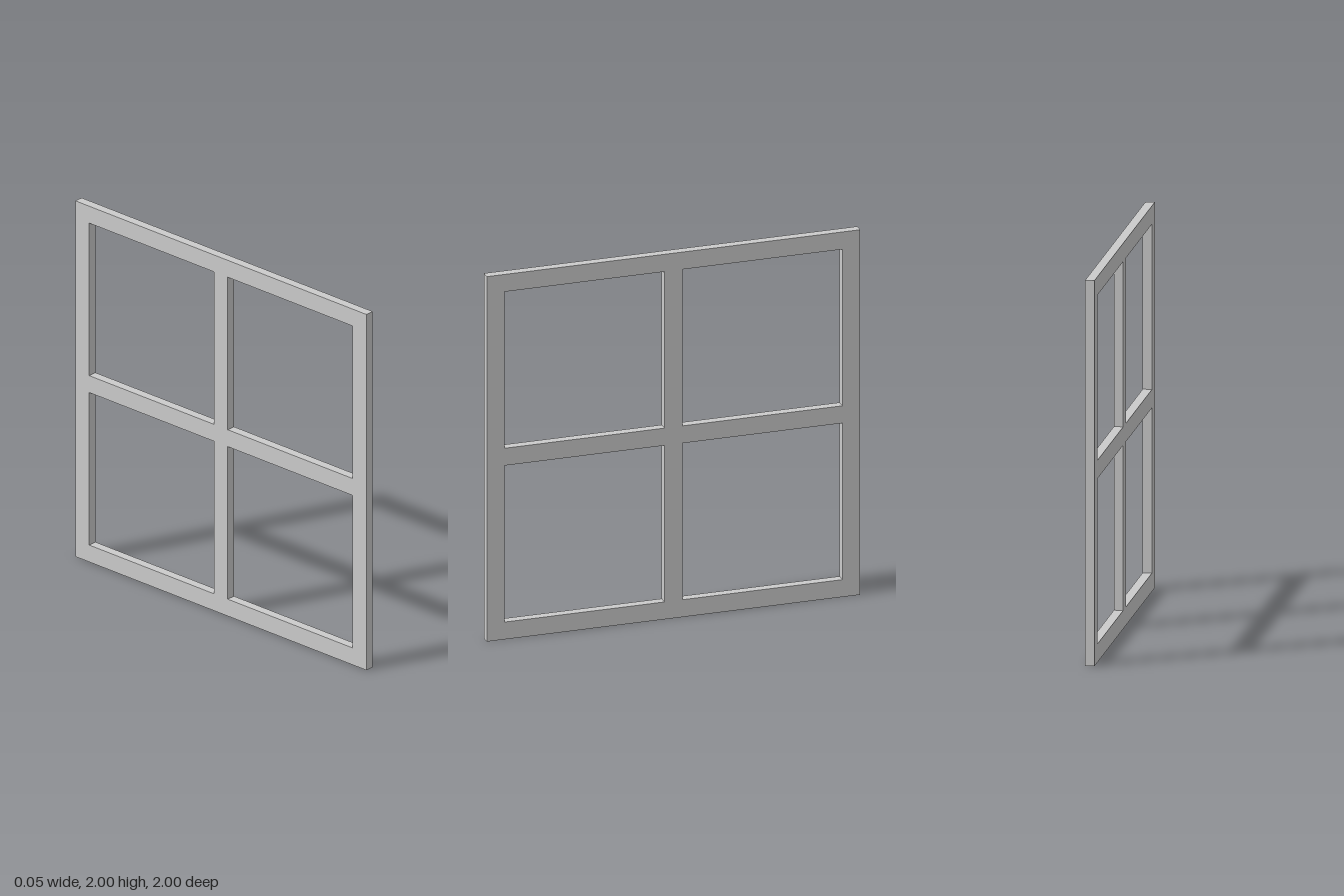
import * as THREE from 'three';

const SIZE = 2;
const BAR = 0.095;   // width of frame and glazing bars
const DEPTH = 0.048; // thickness along x

// Closed square outline given its centre and half width
function square(path, cx, cy, half) {
  path.moveTo(cx - half, cy - half);
  path.lineTo(cx + half, cy - half);
  path.lineTo(cx + half, cy + half);
  path.lineTo(cx - half, cy + half);
  path.closePath();
  return path;
}

export function createModel() {
  const model = new THREE.Group();
  model.name = 'window';

  // Outer frame and crossing bars in one piece, with four pane openings
  const shape = square(new THREE.Shape(), 0, 0, SIZE / 2);
  const opening = (SIZE - 3 * BAR) / 2;
  const offset = (opening + BAR) / 2;
  for (const sx of [-1, 1]) {
    for (const sy of [-1, 1]) {
      shape.holes.push(square(new THREE.Path(), sx * offset, sy * offset, opening / 2));
    }
  }

  const geometry = new THREE.ExtrudeGeometry(shape, { depth: DEPTH, bevelEnabled: false });
  geometry.translate(0, 0, -DEPTH / 2);
  geometry.rotateY(Math.PI / 2); // the frame lies in the yz plane
  geometry.translate(0, SIZE / 2, 0);

  const frame = new THREE.Mesh(geometry, new THREE.MeshStandardMaterial({ color: 0xcccccc }));
  frame.name = 'windowFrame';
  model.add(frame);
  return model;
}
